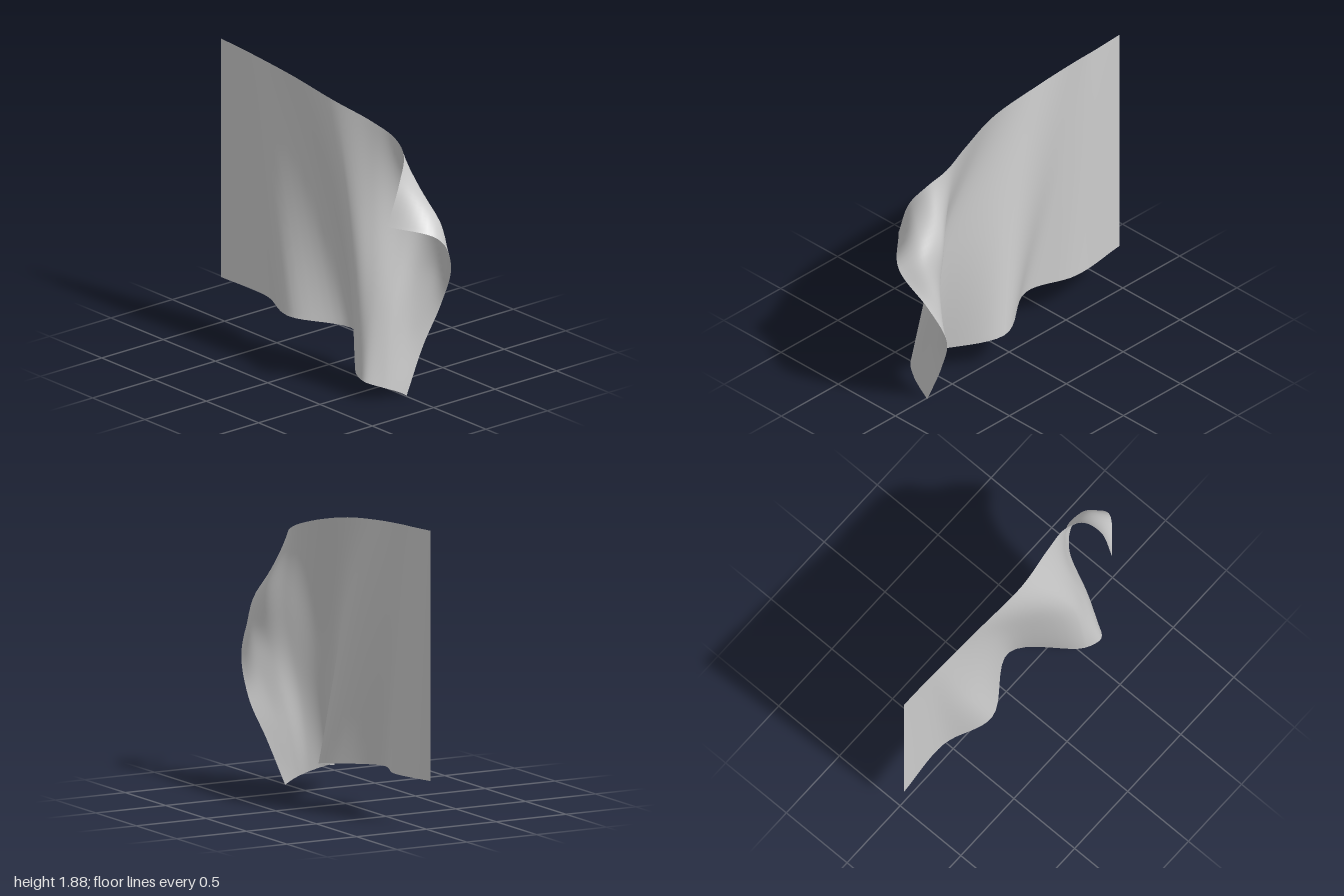
import * as THREE from 'three';

// Smooth curve through points
const line = (...points) => new THREE.CatmullRomCurve3(points.map(p => new THREE.Vector3(...p)));

// Fold lines of the cloth, each running from the top edge to the bottom edge
const hoist = line([-1, 1.88, .03], [-1, .3, .03]);
const firstRidge = line([-.62, 1.86, .035], [-.47, 1.07, .06], [-.26, .272, .11]);
const firstValley = line([-.3, 1.835, .04], [-.02, 1.02, -.02], [.14, .24, -.1]);
const mainRidge = line([.1, 1.785, .042], [.42, .93, .165], [.5, .14, .21]);
const ridgeBack = line([.4, 1.72, -.01], [.55, .9, .11], [.62, .12, .24]);
const slope = line([.59, 1.655, -.037], [.63, 1.17, -.06], [.675, .56, .07], [.69, .08, .15]);
const lastValley = line([.715, 1.585, 0], [.745, 1.22, -.145], [.715, .83, -.1], [.7, .46, -.02], [.715, .05, .08]);
const curl = line([.782, 1.44, .095], [.895, 1.17, -.14], [.79, .8, -.19], [.72, .41, -.09], [.725, .025, .03]);
const flyEdge = line([.78, 1.18, .19], [1, 1.11, -.03], [.92, .86, -.21], [.79, .57, -.24], [.735, .3, -.14], [.73, 0, -.01]);
const folds = [hoist, firstRidge, firstValley, mainRidge, ridgeBack, slope, lastValley, curl, flyEdge];

// Cross-section through all folds at height v, with a shallow dip beside the hoist
function crossSection(v) {
  const points = folds.map(fold => fold.getPoint(v));
  const dip = points[0].clone().lerp(points[1], .55);
  dip.z = .03 - .025 * v;
  points.splice(1, 0, dip);
  return new THREE.CatmullRomCurve3(points);
}

// Skin the cross-sections into one smooth sheet
function clothGeometry(columns, rows) {
  const geometry = new THREE.PlaneGeometry(1, 1, columns, rows);
  const position = geometry.attributes.position;
  for (let j = 0; j <= rows; j++) {
    const section = crossSection(j / rows);
    for (let i = 0; i <= columns; i++) {
      const p = section.getPoint(i / columns);
      position.setXYZ(j * (columns + 1) + i, p.x, p.y, p.z);
    }
  }
  geometry.computeVertexNormals();
  return geometry;
}

export function createModel() {
  const group = new THREE.Group();
  group.name = 'flag';
  const clothGrey = new THREE.MeshStandardMaterial({ color: 0xcccccc, side: THREE.DoubleSide });
  clothGrey.name = 'cloth grey';
  // Waving cloth
  const cloth = new THREE.Mesh(clothGeometry(72, 40), clothGrey);
  cloth.name = 'flagCloth';
  group.add(cloth);
  return group;
}
